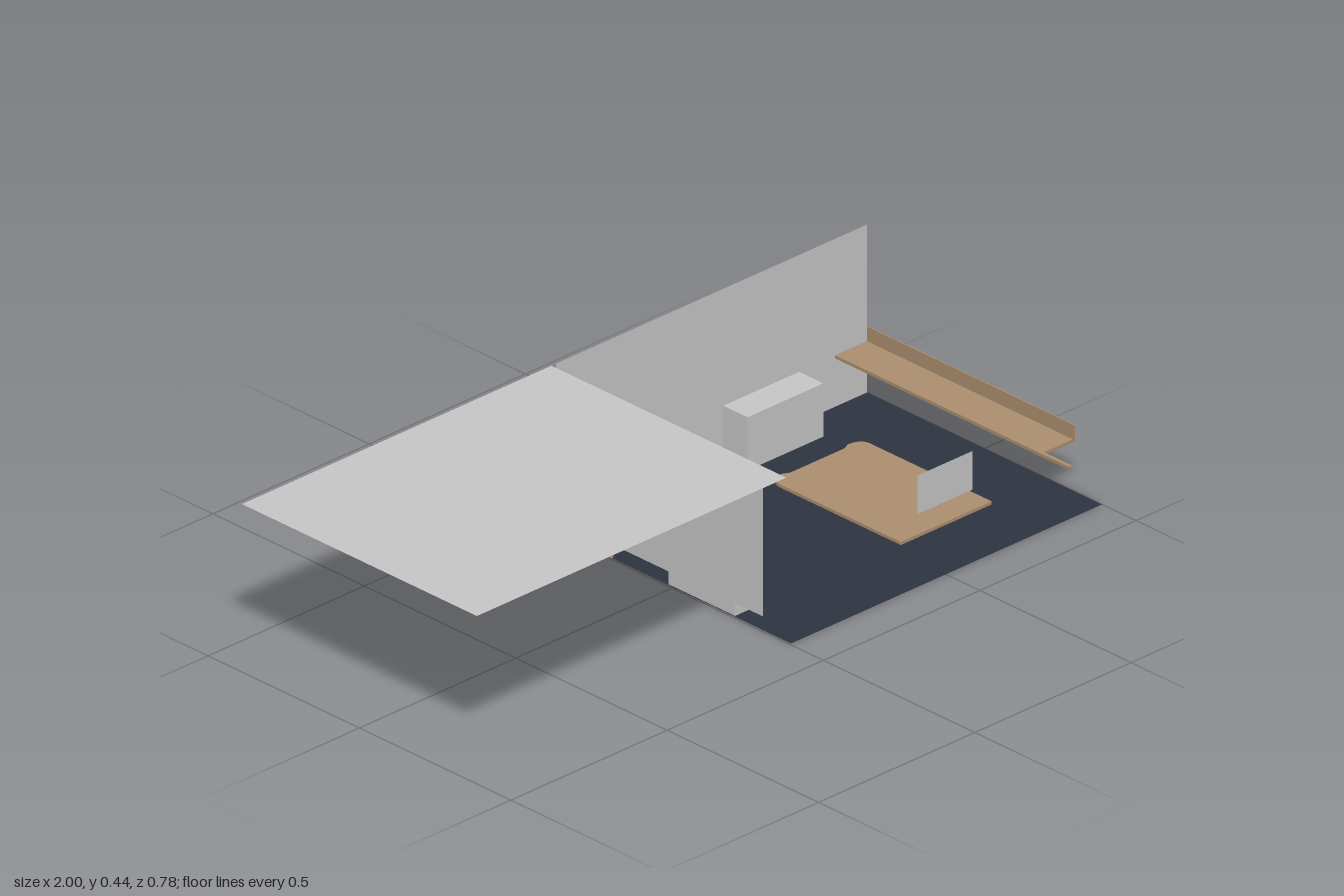
import * as THREE from 'three';

export function createModel() {
  const root = new THREE.Group();
  root.name = 'openRoom';

  const plaster = new THREE.MeshStandardMaterial({ color: 0xc8c8c8, side: THREE.DoubleSide });
  plaster.name = 'pale grey';
  const wood = new THREE.MeshStandardMaterial({ color: 0xad9070, side: THREE.DoubleSide });
  wood.name = 'warm wood';
  const carpet = new THREE.MeshStandardMaterial({ color: 0x2d3542, side: THREE.DoubleSide });
  carpet.name = 'dark navy';

  const add = (name, geometry, material, parent = root) => {
    const mesh = new THREE.Mesh(geometry, material);
    mesh.name = name;
    parent.add(mesh);
    return mesh;
  };
  // Box given by its minimum and maximum along each axis
  const box = (name, material, [x0, x1], [y0, y1], [z0, z1], parent) => {
    const mesh = add(name, new THREE.BoxGeometry(x1 - x0, y1 - y0, z1 - z0), material, parent);
    mesh.position.set((x0 + x1) / 2, (y0 + y1) / 2, (z0 + z1) / 2);
    return mesh;
  };
  // Flat sheets: level (at height y), facing z, facing x
  const level = (name, material, [x0, x1], y, [z0, z1]) => {
    const mesh = add(name, new THREE.PlaneGeometry(x1 - x0, z1 - z0).rotateX(-Math.PI / 2), material);
    mesh.position.set((x0 + x1) / 2, y, (z0 + z1) / 2);
  };
  const facingZ = (name, material, [x0, x1], [y0, y1], z) => {
    const mesh = add(name, new THREE.PlaneGeometry(x1 - x0, y1 - y0), material);
    mesh.position.set((x0 + x1) / 2, (y0 + y1) / 2, z);
  };
  const facingX = (name, material, x, [y0, y1], [z0, z1]) => {
    const mesh = add(name, new THREE.PlaneGeometry(z1 - z0, y1 - y0).rotateY(Math.PI / 2), material);
    mesh.position.set(x, (y0 + y1) / 2, (z0 + z1) / 2);
  };

  // Room shell, with the ceiling laid off to one side
  const depth = [-0.388, 0.388];
  level('floor', carpet, [0.005, 1], 0, depth);
  level('ceiling', plaster, [-1, -0.01], 0.435, depth);
  facingZ('backWall', plaster, [0.005, 1], [0, 0.435], -0.388);
  facingX('sidePanel', plaster, 0.003, [0.037, 0.405], [-0.19, 0.298]);
  facingZ('hangingScreen', plaster, [0.415, 0.59], [0.185, 0.285], 0.383);

  // Door and its frame
  const door = new THREE.Group();
  door.name = 'door';
  root.add(door);
  const frameX = [0.002, 0.01];
  for (const z of [[-0.378, -0.363], [-0.218, -0.203]]) {
    box('doorJamb', wood, frameX, [0, 0.397], z, door);
  }
  box('doorHeader', wood, frameX, [0.383, 0.397], [-0.363, -0.218], door);
  box('doorLeaf', wood, [0.004, 0.008], [0, 0.383], [-0.363, -0.218], door);

  // Level plate cut from an outline in x and z
  const plate = (name, shape, y, thickness) => {
    const g = new THREE.ExtrudeGeometry(shape, { depth: thickness, bevelEnabled: false, curveSegments: 6 });
    g.rotateX(Math.PI / 2);
    add(name, g, wood).position.y = y + thickness;
  };

  // Table top with rounded, slightly raised back corners
  const table = new THREE.Shape();
  table.moveTo(0.357, 0.387);
  table.lineTo(0.357, -0.015);
  table.quadraticCurveTo(0.357, -0.045, 0.398, -0.047);
  table.lineTo(0.415, -0.038);
  table.lineTo(0.59, -0.038);
  table.lineTo(0.607, -0.047);
  table.quadraticCurveTo(0.648, -0.045, 0.648, -0.015);
  table.lineTo(0.648, 0.387);
  plate('tableTop', table, 0.127, 0.008);

  // Long shelf with a slim forward strip and an outer board
  const shelf = new THREE.Shape([
    [0.895, -0.386], [1, -0.386], [1, 0.295], [0.905, 0.295], [0.905, 0.387], [0.895, 0.387],
  ].map(([x, z]) => new THREE.Vector2(x, z)));
  plate('shelf', shelf, 0.127, 0.008);
  box('shelfBoard', wood, [0.997, 1], [0.127, 0.173], [-0.386, 0.298]);

  // Low cabinet against the back wall
  box('cabinet', plaster, [0.532, 0.775], [0, 0.138], [-0.38, -0.3]);

  // Stepped stack of cubes on a plinth
  const stack = new THREE.Group();
  stack.name = 'cubeStack';
  root.add(stack);
  box('plinth', plaster, [0.008, 0.064], [0, 0.037], [-0.02, 0.2], stack);
  const tiers = [
    { y: 0.037, top: 0.09, z: 0.005, count: 3 },
    { y: 0.09, top: 0.147, z: 0.036, count: 2 },
  ];
  for (const { y, top, z, count } of tiers) {
    box('tier', plaster, [0.008, 0.061], [y, top], [z, z + count * 0.054], stack);
    for (let i = 0; i < count; i++) {
      const z0 = z + i * 0.054 + 0.003;
      box('cubeFace', plaster, [0.061, 0.064], [y + 0.003, top - 0.003], [z0, z0 + 0.048], stack);
    }
  }

  return root;
}
